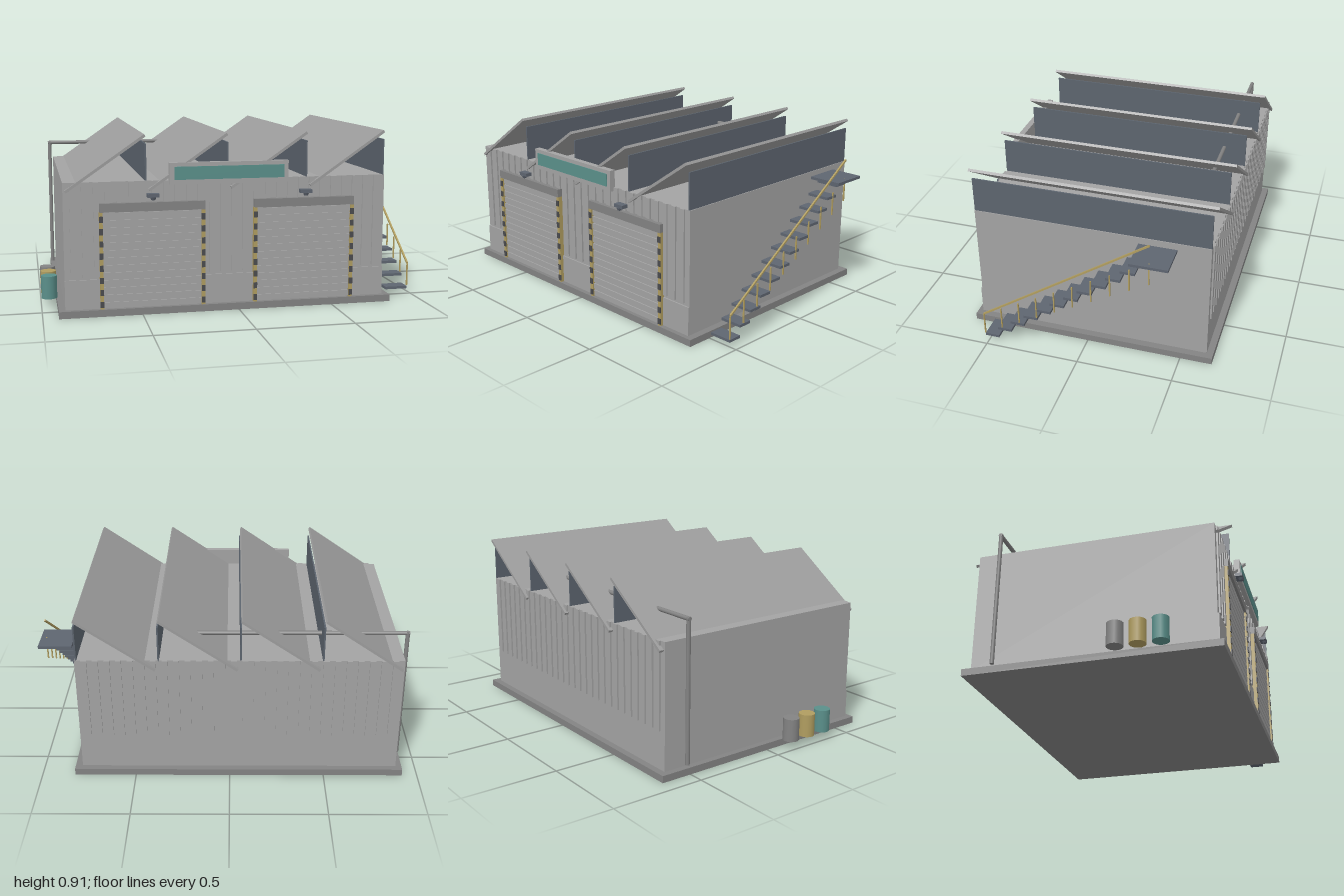
import * as THREE from 'three';

const mat = (name, color, extra = {}) => {
  const m = new THREE.MeshStandardMaterial({ color, ...extra });
  m.name = name;
  return m;
};

export function createModel() {
  const wall = mat('wall grey', 0xa3a3a3);
  const roofGrey = mat('roof grey', 0x9c9c9c);
  const concrete = mat('concrete grey', 0x838383);
  const steel = mat('slate steel', 0x5e6570);
  const glass = mat('window slate', 0x5c646e);
  const yellow = mat('safety yellow', 0xb09d60);
  const teal = mat('teal', 0x5a8f8a);
  const dark = mat('dark stripe', 0x4a4b4e);

  const model = new THREE.Group();
  model.name = 'workshop';
  const group = (name) => {
    const g = new THREE.Group();
    g.name = name;
    model.add(g);
    return g;
  };
  const add = (parent, name, geo, material, x = 0, y = 0, z = 0) => {
    const m = new THREE.Mesh(geo, material);
    m.name = name;
    m.position.set(x, y, z);
    parent.add(m);
    return m;
  };
  // box given by its minimum and maximum corners
  const box = (parent, name, material, x0, x1, y0, y1, z0, z1) =>
    add(parent, name, new THREE.BoxGeometry(x1 - x0, y1 - y0, z1 - z0), material,
      (x0 + x1) / 2, (y0 + y1) / 2, (z0 + z1) / 2);

  // slab, hall and front plinth
  box(model, 'slab', concrete, -0.92, 0.825, 0, 0.036, -0.667, 0.637);
  box(model, 'hall', wall, -0.888, 0.787, 0.036, 0.68, -0.632, 0.605);
  box(model, 'frontPlinth', wall, -0.888, 0.787, 0.036, 0.187, 0.605, 0.612);

  // ribbed cladding on the front and back
  const cladding = group('cladding');
  const ribs = 28, pitch = 1.64 / ribs;
  for (let i = 0; i < ribs; i++) {
    const x = -0.871 + (i + 0.25) * pitch;
    box(cladding, 'frontRib', wall, x, x + pitch / 2, 0.2, 0.68, 0.604, 0.614);
    box(cladding, 'backRib', wall, x, x + pitch / 2, 0.235, 0.68, -0.641, -0.631);
  }

  // sawtooth roof with upright windows
  const roof = group('roof');
  for (let i = 0; i < 4; i++) {
    const dx = i * 0.418;
    const panel = add(roof, 'roofPanel', new THREE.BoxGeometry(0.482, 0.014, 1.28), roofGrey,
      -0.678 + dx, 0.772, -0.015);
    panel.rotation.z = Math.atan2(0.272, 0.395);
    box(roof, 'roofWindow', glass, -0.479 + dx, -0.471 + dx, 0.675, 0.866, -0.632, 0.605);
  }

  // roller doors with striped posts and a lamp above
  for (const cx of [-0.445, 0.345]) {
    const door = group('rollerDoor');
    box(door, 'doorPanel', wall, cx - 0.255, cx + 0.255, 0.036, 0.535, 0.6, 0.616);
    for (let i = 0; i < 13; i++) {
      const y = 0.04 + i * 0.038;
      box(door, 'doorSlat', wall, cx - 0.25, cx + 0.25, y, y + 0.03, 0.615, 0.622);
    }
    box(door, 'doorHeader', concrete, cx - 0.266, cx + 0.268, 0.53, 0.574, 0.605, 0.634);
    for (const s of [-1, 1]) {
      const px = cx + s * 0.259;
      box(door, 'doorPost', yellow, px - 0.009, px + 0.009, 0.036, 0.531, 0.605, 0.631);
      for (let i = 0; i < 8; i++) {
        const y = 0.045 + i * 0.062;
        box(door, 'postStripe', dark, px - 0.0095, px + 0.0095, y, y + 0.031, 0.629, 0.634);
      }
    }
    box(door, 'lampHousing', steel, cx - 0.03, cx + 0.03, 0.602, 0.62, 0.627, 0.664);
    add(door, 'lampBulb', new THREE.CylinderGeometry(0.016, 0.01, 0.014, 10), steel, cx, 0.596, 0.654);
  }

  // sign board
  const sign = group('signBoard');
  box(sign, 'signFrame', wall, -0.36, 0.256, 0.66, 0.77, 0.604, 0.636);
  box(sign, 'signFace', teal, -0.335, 0.232, 0.684, 0.75, 0.634, 0.64);

  // pipe up the left wall and across the roof
  const pipe = group('pipe');
  add(pipe, 'downPipe', new THREE.CylinderGeometry(0.011, 0.011, 0.735, 10), concrete, -0.91, 0.4175, -0.512);
  add(pipe, 'roofPipe', new THREE.CylinderGeometry(0.011, 0.011, 1.16, 10), concrete, -0.34, 0.777, -0.512)
    .rotation.z = Math.PI / 2;

  // outside stair: treads, landing, posts and sloping handrail
  const stair = group('stair');
  for (let i = 0; i < 12; i++) {
    const y = 0.032 + i * 0.0553, z = 0.515 - i * 0.074;
    box(stair, 'tread', steel, 0.85, 0.972, y, y + 0.014, z - 0.075, z);
  }
  box(stair, 'landing', steel, 0.825, 1.0, 0.658, 0.672, -0.47, -0.275);
  for (let i = 0; i < 10; i++) {
    const y = 0.05 + i * 0.0555, z = 0.515 - i * 0.0983;
    box(stair, 'railPost', yellow, 0.968, 0.975, y, y + 0.123, z - 0.003, z + 0.003);
  }
  const rail = add(stair, 'handrail', new THREE.BoxGeometry(0.009, 0.009, Math.hypot(0.885, 0.6)), yellow,
    0.9715, 0.474, 0.0725);
  rail.rotation.x = Math.atan2(0.6, 0.885);

  // barrels by the left wall
  const barrels = group('barrels');
  [concrete, yellow, teal].forEach((m, i) =>
    add(barrels, 'barrel', new THREE.CylinderGeometry(0.042, 0.042, 0.12, 14), m, -0.958, 0.1, 0.127 + i * 0.111));

  return model;
}
